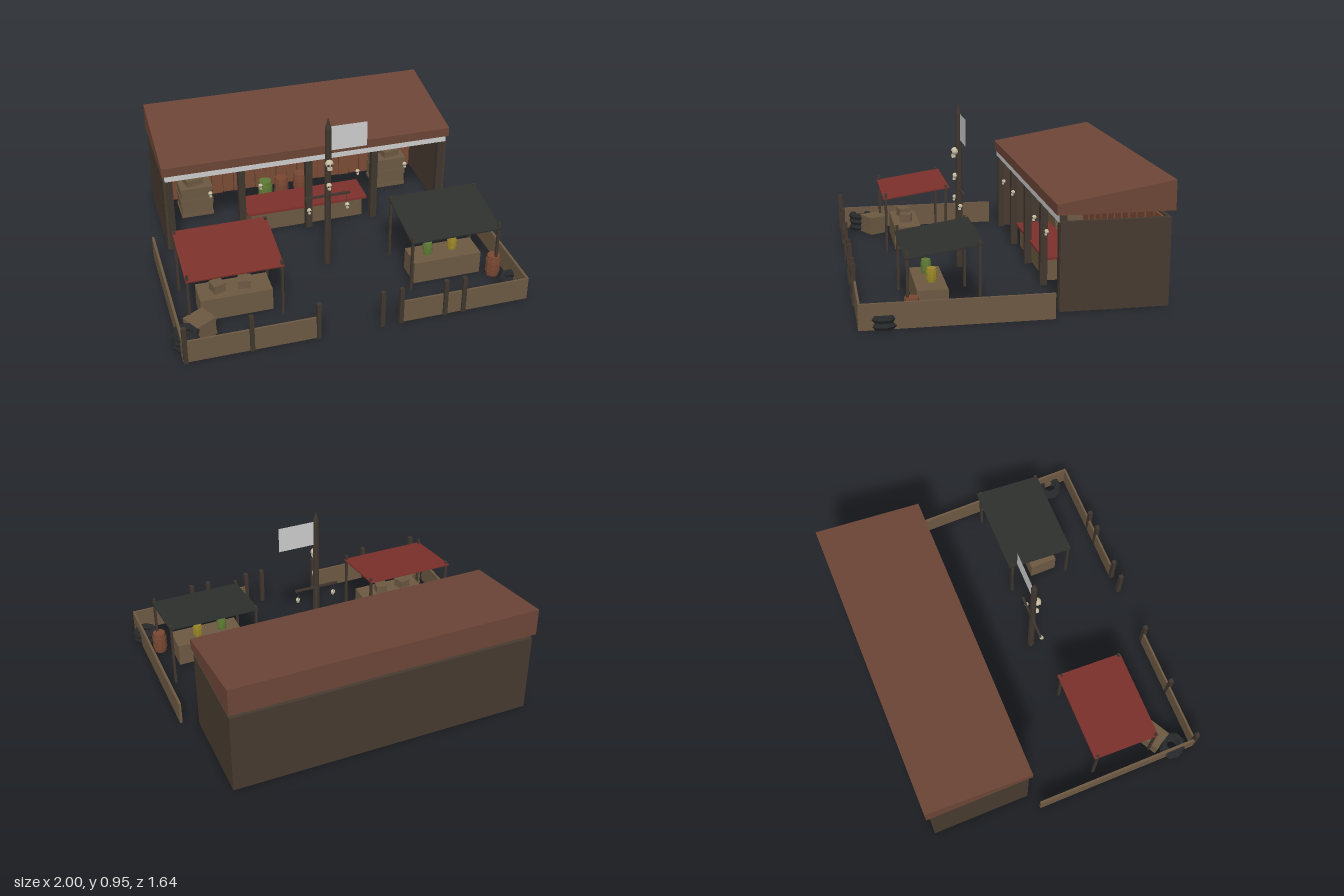
import * as THREE from 'three';

const mat = (color) => new THREE.MeshStandardMaterial({ color, flatShading: true });
const wood = mat(0x6b5842), darkWood = mat(0x463a2f), postWood = mat(0x3f362e);
const plankWood = mat(0x7a4a35), roofWood = mat(0x6c4537), red = mat(0x7c302b);
const black = mat(0x2e302e), rubber = mat(0x26282a), bone = mat(0xc6bca2);
const green = mat(0x5f7a35), yellow = mat(0x9a8628), rust = mat(0x784732);
const cloth = new THREE.MeshStandardMaterial({ color: 0xcccccc, side: THREE.DoubleSide });

function add(parent, name, geometry, material, x, y, z) {
  const mesh = new THREE.Mesh(geometry, material);
  mesh.name = name;
  mesh.position.set(x, y, z);
  parent.add(mesh);
  return mesh;
}
// Box whose y is the height of its underside
const box = (parent, name, material, w, h, d, x, y, z) =>
  add(parent, name, new THREE.BoxGeometry(w, h, d), material, x, y + h / 2, z);

function skull(parent, x, y, z, s) {
  const g = new THREE.Group();
  g.name = 'skull';
  const cranium = add(g, 'cranium', new THREE.IcosahedronGeometry(1, 1), bone, 0, 0.2, 0);
  cranium.scale.set(0.95, 0.95, 0.9);
  box(g, 'jaw', bone, 1.0, 0.7, 0.9, 0, -1.25, 0.3);
  for (const side of [-1, 1]) box(g, 'eyeSocket', postWood, 0.4, 0.4, 0.2, side * 0.38, -0.1, 0.76);
  g.position.set(x, y, z);
  g.scale.setScalar(s);
  parent.add(g);
}

// Barrel with a slight belly and two hoops
function barrel(parent, material, x, y, z, r, h) {
  const g = new THREE.Group();
  g.name = 'barrel';
  const profile = [[0, 0], [r * 0.86, 0], [r, h * 0.35], [r, h * 0.65], [r * 0.86, h], [0, h]];
  add(g, 'barrelBody', new THREE.LatheGeometry(profile.map(p => new THREE.Vector2(...p)), 10), material, 0, 0, 0);
  for (const k of [0.25, 0.75])
    add(g, 'barrelHoop', new THREE.CylinderGeometry(r * 1.02, r * 1.02, h * 0.06, 10), material, 0, h * k, 0);
  g.position.set(x, y, z);
  parent.add(g);
}

function crate(parent, w, h, d, x, y, z, turn = 0) {
  const g = new THREE.Group();
  g.name = 'crate';
  box(g, 'crateBody', wood, w * 0.96, h, d * 0.96, 0, 0, 0);
  for (const k of [0, 0.8]) box(g, 'crateBand', wood, w, h * 0.2, d, 0, h * k, 0);
  g.position.set(x, y, z);
  g.rotation.y = turn;
  parent.add(g);
}

function createShop() {
  const g = new THREE.Group();
  g.name = 'shop';
  // Walls
  box(g, 'backWall', darkWood, 1.73, 0.475, 0.02, 0, 0, -0.79);
  for (const s of [-1, 1]) box(g, 'sideWall', darkWood, 0.02, 0.475, 0.58, s * 0.858, 0, -0.51);
  // Inner plank lining
  const count = 24, step = 1.69 / count;
  for (let i = 0; i < count; i++)
    box(g, 'plank', plankWood, step - 0.004, 0.465 + (i % 3) * 0.004, 0.012,
      -0.845 + (i + 0.5) * step, 0, -0.77 + (i % 2) * 0.006);
  // Sloping solid roof
  const side = new THREE.Shape([[0.2, 0.51], [0.82, 0.51], [0.82, 0.67], [0.2, 0.565]].map(p => new THREE.Vector2(...p)));
  const roof = new THREE.ExtrudeGeometry(side, { depth: 1.75, bevelEnabled: false });
  add(g, 'roof', roof.rotateY(Math.PI / 2), roofWood, -0.875, 0, 0);
  // Front posts and the pale strip under the eave
  for (const x of [-0.835, -0.41, 0, 0.41, 0.835])
    box(g, 'shopPost', postWood, 0.04, 0.51, 0.04, x, 0, -0.237);
  box(g, 'eaveStrip', cloth, 1.72, 0.04, 0.004, 0, 0.47, -0.213);
  for (const x of [-0.6, -0.3, 0.3, 0.6]) skull(g, x, 0.35, -0.21, 0.014);
  // Counter
  box(g, 'counter', wood, 0.7, 0.125, 0.17, 0, 0, -0.35);
  box(g, 'counterTop', red, 0.75, 0.015, 0.21, 0, 0.125, -0.35);
  // Stores behind the counter
  barrel(g, green, -0.18, 0, -0.61, 0.045, 0.135);
  barrel(g, rust, -0.07, 0, -0.63, 0.045, 0.13);
  barrel(g, rust, 0.06, 0, -0.65, 0.045, 0.13);
  for (const s of [-1, 1]) {
    crate(g, 0.2, 0.1, 0.18, s * 0.63, 0, -0.62);
    crate(g, 0.2, 0.1, 0.18, s * 0.63, 0.1, -0.62);
    crate(g, 0.11, 0.04, 0.11, s * 0.64, 0.2, -0.62, 0.2);
  }
  return g;
}

function createStall(s, canvas) {
  const g = new THREE.Group();
  g.name = s < 0 ? 'rightStall' : 'leftStall';
  const x = s * 0.625;
  const canopy = box(g, 'canopy', canvas, 0.53, 0.008, 0.404, x, 0.351, 0.37);
  canopy.rotation.x = 0.149;
  for (const dx of [-0.255, 0.255]) {
    box(g, 'canopyFrontPost', postWood, 0.014, 0.36, 0.014, x + dx, 0, 0.555);
    box(g, 'canopyBackPost', postWood, 0.014, 0.4, 0.014, x + dx, 0, 0.192);
  }
  box(g, 'table', wood, 0.4, 0.135, 0.16, s * 0.61, 0, 0.42);
  return g;
}

function createPole() {
  const g = new THREE.Group();
  g.name = 'flagPole';
  add(g, 'pole', new THREE.CylinderGeometry(0.018, 0.021, 0.89, 8), postWood, 0, 0.445, 0.165);
  add(g, 'poleTip', new THREE.ConeGeometry(0.018, 0.065, 8), postWood, 0, 0.9225, 0.165);
  box(g, 'crossBar', postWood, 0.265, 0.012, 0.012, 0, 0.45, 0.16);
  add(g, 'flag', new THREE.PlaneGeometry(0.21, 0.15), cloth, 0.122, 0.82, 0.16);
  skull(g, 0, 0.675, 0.188, 0.025);
  skull(g, 0, 0.535, 0.188, 0.017);
  for (const s of [-1, 1]) {
    box(g, 'cord', postWood, 0.002, 0.06, 0.002, s * 0.112, 0.39, 0.165);
    skull(g, s * 0.112, 0.383, 0.175, 0.014);
  }
  return g;
}

function createFence() {
  const g = new THREE.Group();
  g.name = 'fence';
  for (const s of [-1, 1]) box(g, 'sideFence', wood, 0.014, 0.135, 0.98, s * 0.958, 0, 0.312);
  box(g, 'frontFence', wood, 0.72, 0.135, 0.012, -0.6, 0, 0.8);
  box(g, 'frontFence', wood, 0.74, 0.135, 0.012, 0.59, 0, 0.8);
  for (const x of [-0.952, -0.6, -0.24, 0.115, 0.22, 0.473, 0.58])
    box(g, 'fencePost', postWood, 0.024, 0.225, 0.024, x, 0, 0.805);
  return g;
}

// Stack of tyres lying flat
function createTyres(x, count) {
  const g = new THREE.Group();
  g.name = 'tyreStack';
  for (let i = 0; i < count; i++) {
    const geo = new THREE.TorusGeometry(0.054, 0.021, 6, 8).rotateX(Math.PI / 2).rotateY(0.2 + i * 0.3);
    add(g, 'tyre', geo, rubber, x, 0.0185 + i * 0.036, 0.68);
  }
  return g;
}

export function createModel() {
  const model = new THREE.Group();
  model.name = 'tradingPost';
  const crateStall = createStall(-1, red), bottleStall = createStall(1, black);
  crate(crateStall, 0.07, 0.05, 0.07, -0.7, 0.135, 0.42, 0.3);
  crate(crateStall, 0.07, 0.05, 0.07, -0.55, 0.135, 0.42, -0.2);
  barrel(bottleStall, green, 0.515, 0.135, 0.42, 0.028, 0.075);
  barrel(bottleStall, yellow, 0.668, 0.135, 0.41, 0.028, 0.075);
  barrel(bottleStall, rust, 0.875, 0, 0.535, 0.042, 0.13);
  model.add(createShop(), crateStall, bottleStall, createPole(), createFence());
  model.add(createTyres(-0.925, 3), createTyres(0.925, 2));
  crate(model, 0.13, 0.11, 0.12, -0.835, 0, 0.6, 0.5);
  return model;
}
